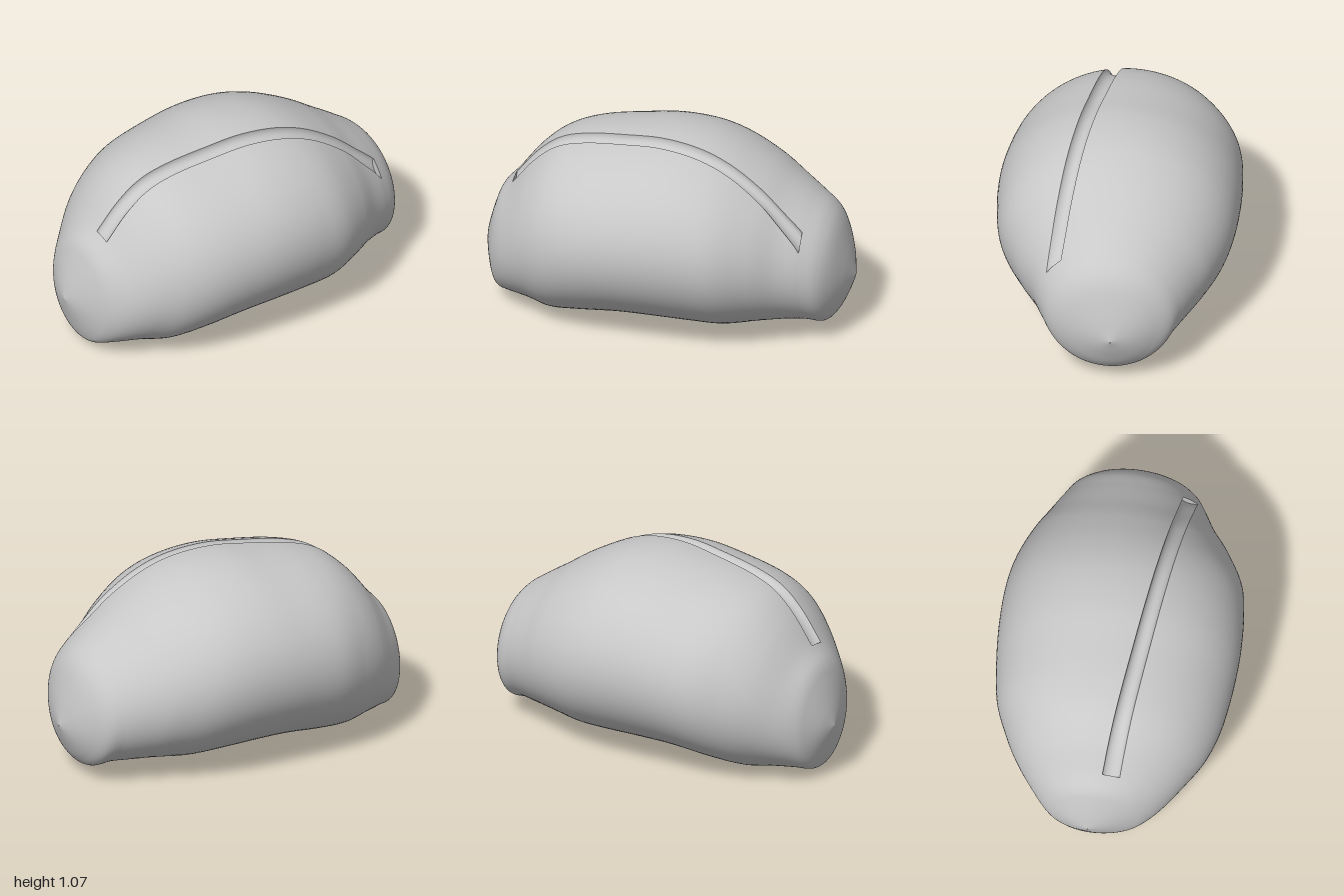
import * as THREE from 'three';
import { ParametricGeometry } from 'three/addons/geometries/ParametricGeometry.js';

// Cross-sections along the loaf: x, top y, bottom y, back z, front z
const sections = [
  [-1, 0.302, 0.298, -0.052, -0.048],
  [-0.975, 0.41, 0.2, -0.15, 0.06],
  [-0.935, 0.54, 0.08, -0.24, 0.18],
  [-0.9, 0.62, 0.035, -0.295, 0.25],
  [-0.83, 0.7, 0.032, -0.365, 0.335],
  [-0.71, 0.85, 0.022, -0.465, 0.44],
  [-0.58, 0.955, 0, -0.54, 0.53],
  [-0.42, 1.01, 0.015, -0.605, 0.59],
  [-0.2, 1.045, 0.038, -0.635, 0.625],
  [0, 1.067, 0.04, -0.645, 0.637],
  [0.2, 1.052, 0.035, -0.637, 0.627],
  [0.37, 1.0, 0.033, -0.605, 0.595],
  [0.54, 0.91, 0.055, -0.54, 0.505],
  [0.67, 0.82, 0.065, -0.47, 0.415],
  [0.78, 0.745, 0.07, -0.41, 0.355],
  [0.865, 0.68, 0.06, -0.36, 0.3],
  [0.92, 0.6, 0.11, -0.28, 0.22],
  [0.965, 0.46, 0.2, -0.18, 0.1],
  [1, 0.302, 0.298, -0.052, -0.048],
];
const LAST = sections.length - 1;
const GROOVE_START = 4; // section where the groove begins
const GROOVE_END = 14; // section where the groove ends
const DEPTH = 0.045;

const spline = new THREE.CubicInterpolant(
  sections.map((_, i) => i), sections.flat(), 5, new Float64Array(5));

// Ellipse of the loaf at section position t
function ellipse(t) {
  const [x, top, bottom, back, front] = spline.evaluate(t);
  return {
    x, yc: (top + bottom) / 2, ry: (top - bottom) / 2,
    zc: (front + back) / 2, rz: (front - back) / 2,
  };
}

// Point on the loaf at angle a from the top, pushed inwards by depth
function surfacePoint(t, a, depth, target) {
  const e = ellipse(t);
  const ny = Math.cos(a) / e.ry, nz = Math.sin(a) / e.rz;
  const k = depth / Math.hypot(ny, nz);
  target.set(e.x, e.yc + e.ry * Math.cos(a) - ny * k, e.zc + e.rz * Math.sin(a) - nz * k);
}

// Angle of the groove's edge: side +1 is the front edge, -1 the back edge
function edgeAngle(t, side) {
  const e = ellipse(THREE.MathUtils.clamp(t, GROOVE_START, GROOVE_END));
  const z = 0.165 + 0.135 * e.x + side * (0.042 - 0.005 * e.x);
  return Math.asin((z - e.zc) / e.rz);
}

export function createModel() {
  const group = new THREE.Group();
  const grey = new THREE.MeshStandardMaterial({ color: 0xc8c8c8 });
  grey.name = 'light grey';

  const add = (name, geometry) => {
    const mesh = new THREE.Mesh(geometry, grey);
    mesh.name = name;
    group.add(mesh);
  };

  // Main skin, running all the way round from the groove's back edge to its front edge
  add('loafBody', new ParametricGeometry((u, v, p) => {
    const t = u * LAST;
    const a = THREE.MathUtils.lerp(edgeAngle(t, -1), edgeAngle(t, 1) - 2 * Math.PI, v);
    surfacePoint(t, a, 0, p);
  }, LAST * 8, 96));

  // Strip of the body between the groove's edges, hollowed when depth > 0
  const strip = (t0, t1, depth) => new ParametricGeometry((u, v, p) => {
    const t = THREE.MathUtils.lerp(t0, t1, u);
    const w = (1 - Math.cos(Math.PI * v)) / 2;
    const a = THREE.MathUtils.lerp(edgeAngle(t, 1), edgeAngle(t, -1), w);
    surfacePoint(t, a, depth * Math.sin(Math.PI * v), p);
  }, (t1 - t0) * 8, 14);
  add('rightEndStrip', strip(0, GROOVE_START, 0));
  add('groove', strip(GROOVE_START, GROOVE_END, DEPTH));
  add('leftEndStrip', strip(GROOVE_END, LAST, 0));

  // Flat walls closing the two ends of the groove
  for (const [name, t, side] of [['grooveRightWall', GROOVE_START, -1], ['grooveLeftWall', GROOVE_END, 1]]) {
    const wall = new ParametricGeometry((u, v, p) => {
      const w = (1 - Math.cos(Math.PI * u)) / 2;
      const a = THREE.MathUtils.lerp(edgeAngle(t, side), edgeAngle(t, -side), w);
      surfacePoint(t, a, DEPTH * Math.sin(Math.PI * u) * v, p);
    }, 14, 2);
    wall.computeVertexNormals();
    add(name, wall);
  }
  return group;
}
